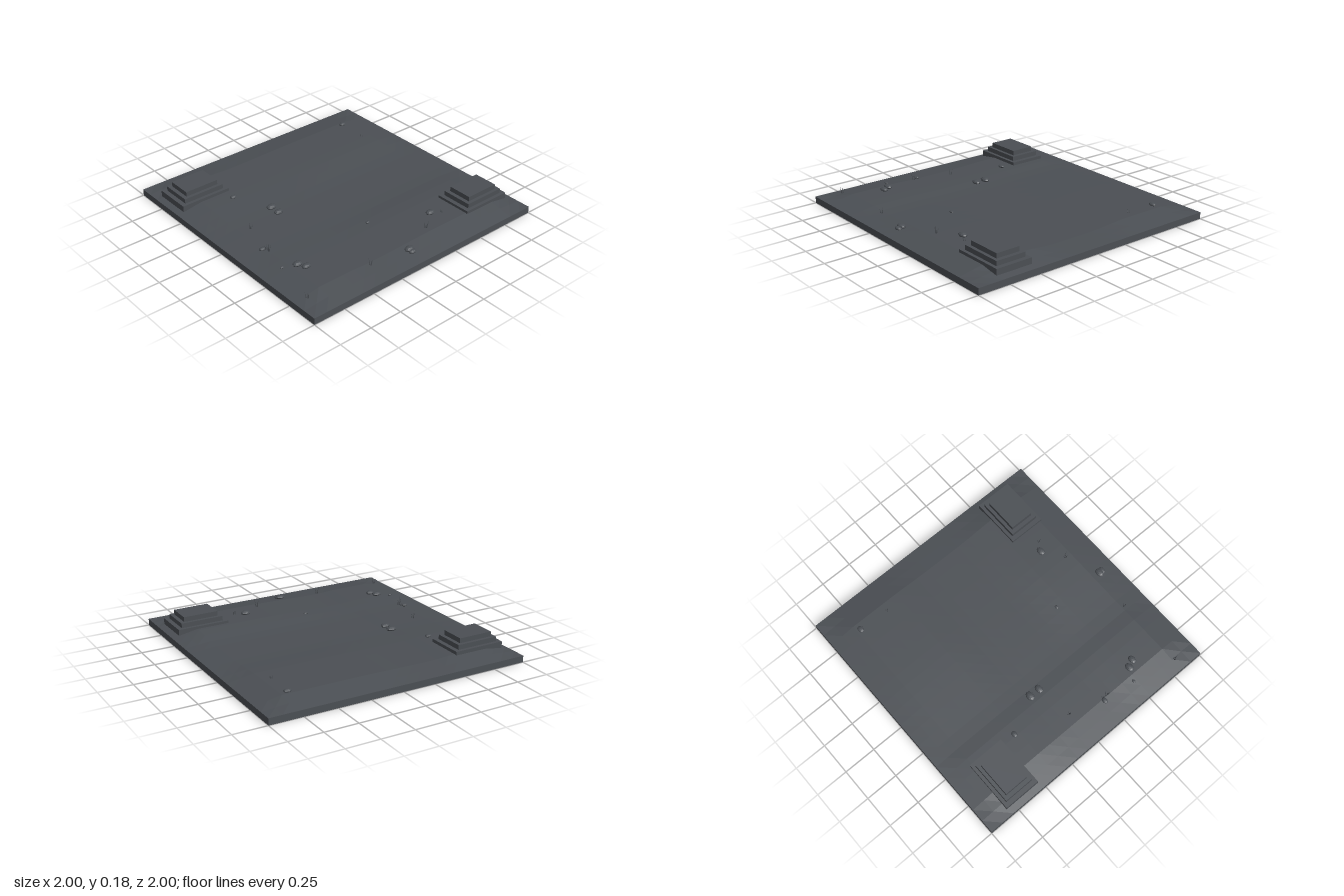
import * as THREE from 'three';

const slate = new THREE.MeshStandardMaterial({ color: 0x4b4f54, flatShading: true });
slate.name = 'slate grey';

const { smoothstep, lerp } = THREE.MathUtils;

// Gently rolling ground, sinking to the slab at every edge
function groundHeight(x, z) {
  const edge = smoothstep(1 - Math.abs(x), 0, 0.2) * smoothstep(1 - Math.abs(z), 0, 0.2);
  const east = smoothstep(x, -0.4, 0.3);
  const frontRidge = 0.022 * smoothstep(z, 0.22, 0.5) * lerp(0.4, 1, east);
  const backRidge = 0.018 * smoothstep(-z, 0.1, 0.45) * lerp(0.5, 1, east);
  const westBank = 0.009 * (1 - smoothstep(x, -0.55, -0.35));
  return 0.05 + edge * (0.014 + Math.min(0.026, frontRidge + backRidge + westBank));
}

function add(group, name, geometry, x = 0, y = 0, z = 0) {
  const mesh = new THREE.Mesh(geometry, slate);
  mesh.name = name;
  mesh.position.set(x, y, z);
  group.add(mesh);
  return mesh;
}

// Three-step rectangular platform
function makePlatform(name, x, z) {
  const platform = new THREE.Group();
  platform.name = name;
  const steps = [[0.396, 0.286, 0.04, 0.105], [0.328, 0.236, 0.1, 0.14], [0.268, 0.186, 0.135, 0.176]];
  steps.forEach(([w, d, y0, y1], i) =>
    add(platform, `step${i + 1}`, new THREE.BoxGeometry(w, y1 - y0, d), 0, (y0 + y1) / 2, 0));
  platform.position.set(x, 0, z);
  return platform;
}

// Tuft of thin leaning blades
function makeTuft(x, z, top) {
  const tuft = new THREE.Group();
  tuft.name = 'grassTuft';
  const base = groundHeight(x, z) - 0.004;
  const height = top - base;
  for (let i = 0; i < 4; i++) {
    const h = height * (1 - 0.17 * i);
    const blade = new THREE.ConeGeometry(0.005, h, 4);
    blade.translate(0, h / 2, 0);
    const angle = i * 1.9 + x * 5;
    const mesh = add(tuft, 'blade', blade, Math.cos(angle) * 0.006, 0, Math.sin(angle) * 0.006);
    mesh.rotation.set(Math.sin(angle) * 0.22, 0, -Math.cos(angle) * 0.22);
  }
  tuft.position.set(x, base, z);
  return tuft;
}

export function createModel() {
  const model = new THREE.Group();
  model.name = 'terrainTile';

  // Slab and ground surface
  add(model, 'slab', new THREE.BoxGeometry(2, 0.049, 2), 0, 0.0245, 0);
  const ground = new THREE.PlaneGeometry(2, 2, 20, 20).rotateX(-Math.PI / 2);
  const p = ground.attributes.position;
  for (let i = 0; i < p.count; i++) p.setY(i, groundHeight(p.getX(i), p.getZ(i)));
  ground.computeVertexNormals();
  add(model, 'ground', ground);

  // Stepped platforms in opposite corners
  model.add(makePlatform('backPlatform', -0.752, -0.677), makePlatform('frontPlatform', 0.748, 0.673));

  // Flattened stones: x, z, radius
  const stones = [
    [0.745, -0.77, 0.03], [-0.585, -0.435, 0.027], [-0.445, -0.163, 0.04], [-0.445, -0.08, 0.037],
    [-0.815, 0.22, 0.026], [-0.845, 0.475, 0.016], [-0.75, 0.52, 0.038], [-0.72, 0.575, 0.035],
    [-0.055, 0.435, 0.018], [0.355, 0.64, 0.038], [-0.057, 0.86, 0.038], [-0.053, 0.888, 0.031],
  ];
  for (const [x, z, r] of stones) {
    const stone = add(model, 'stone', new THREE.SphereGeometry(r, 10, 6), x, groundHeight(x, z) + r * 0.25, z);
    stone.scale.set(1, 0.42, 0.72);
  }

  // Grass tufts: x, z, tip height
  const tufts = [
    [-0.91, 0.82, 0.12], [-0.79, 0.26, 0.145], [-0.72, -0.04, 0.13], [-0.37, 0.82, 0.125],
    [0.205, 0.75, 0.15], [0.43, 0.68, 0.122], [0.74, -0.53, 0.11], [-0.79, 0.225, 0.11],
  ];
  for (const t of tufts) model.add(makeTuft(...t));

  return model;
}
